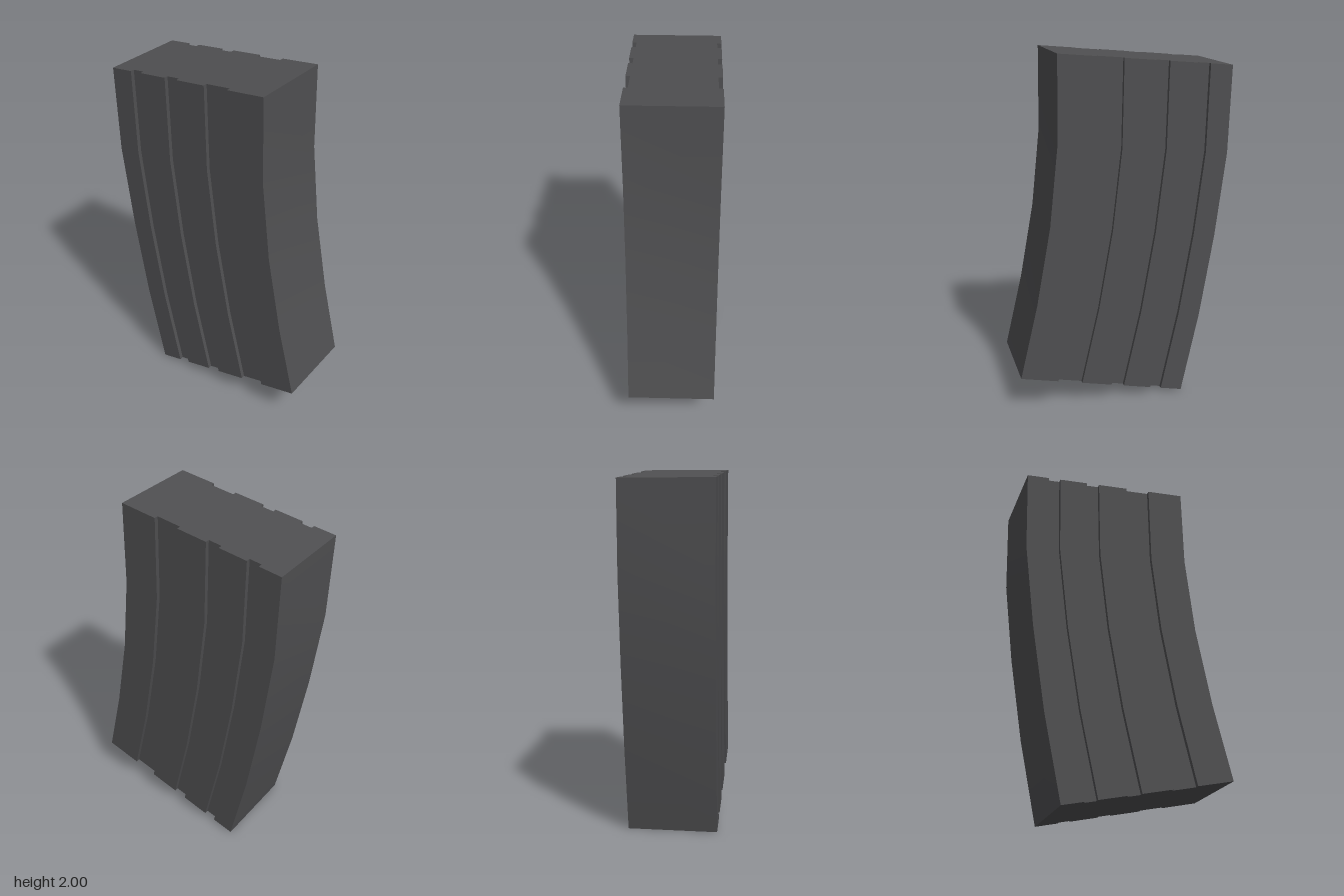
import * as THREE from 'three';

// Curved side edges from top to bottom: [back edge x, y, front edge x, y]
const ROWS = [
  [-0.605, 1.914, 0.36, 2.0],
  [-0.592, 1.434, 0.368, 1.53],
  [-0.534, 0.956, 0.417, 1.085],
  [-0.456, 0.478, 0.5, 0.64],
  [-0.355, 0.003, 0.602, 0.214],
];
// Long grooves as fractions of the width
const GROOVES = [[0.132, 0.202], [0.371, 0.45], [0.632, 0.779]];
const HALF = 0.2475, DEEP = 0.224;

// Cross-section loop of (fraction of width, z)
function section() {
  const back = [[0, -HALF]];
  for (const [a, b] of GROOVES) back.push([a, -HALF], [a, -DEEP], [b, -DEEP], [b, -HALF]);
  back.push([1, -HALF]);
  const front = back.map(([u, z]) => [u, -z]).reverse();
  return [...back, ...front];
}

const place = ([x0, y0, x1, y1], [u, z]) => [x0 + (x1 - x0) * u, y0 + (y1 - y0) * u, z];

function build(positions, index) {
  const g = new THREE.BufferGeometry();
  g.setAttribute('position', new THREE.Float32BufferAttribute(positions, 3));
  g.setIndex(index);
  g.computeVertexNormals();
  return g;
}

// Walls: one strip per section edge, smooth along the length and sharp across
function wallGeometry(loop) {
  const positions = [], index = [];
  loop.forEach((p, i) => {
    const q = loop[(i + 1) % loop.length];
    const base = positions.length / 3;
    ROWS.forEach((row, r) => {
      positions.push(...place(row, p), ...place(row, q));
      if (r === ROWS.length - 1) return;
      const a = base + r * 2;
      index.push(a, a + 1, a + 2, a + 1, a + 3, a + 2);
    });
  });
  return build(positions, index);
}

// Flat end following the notched section
function capGeometry(loop, row, up) {
  const faces = THREE.ShapeUtils.triangulateShape(loop.map(([u, z]) => new THREE.Vector2(u, z)), []);
  const index = faces.flatMap(([a, b, c]) => (up ? [a, c, b] : [a, b, c]));
  return build(loop.flatMap((p) => place(row, p)), index);
}

export function createModel() {
  const group = new THREE.Group();
  group.name = 'curvedMagazine';
  const darkGrey = new THREE.MeshStandardMaterial({ color: 0x4f4f51 });
  darkGrey.name = 'darkGrey';

  const loop = section();
  const add = (name, geometry) => {
    const mesh = new THREE.Mesh(geometry, darkGrey);
    mesh.name = name;
    group.add(mesh);
  };
  add('groovedBody', wallGeometry(loop));
  add('topEnd', capGeometry(loop, ROWS[0], true));
  add('bottomEnd', capGeometry(loop, ROWS[ROWS.length - 1], false));
  return group;
}
